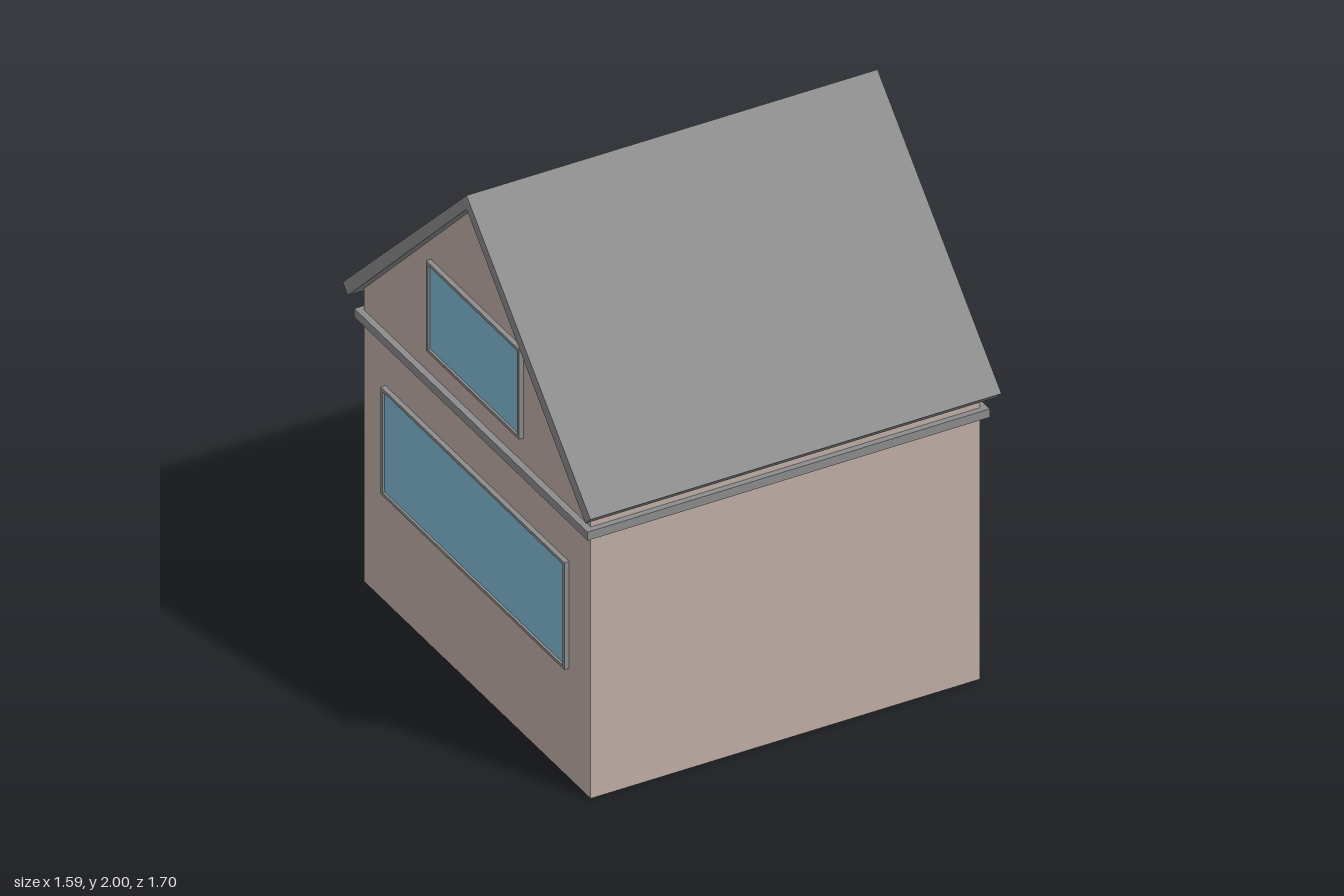
import * as THREE from 'three';

const mat = (color) => new THREE.MeshStandardMaterial({ color, flatShading: true });
const WALL_X = 0.755, WALL_Z = 0.777;

export function createModel() {
  const house = new THREE.Group();
  house.name = 'house';
  const wall = mat(0xc0afa6), grey = mat(0x8c8c8c), glass = mat(0x80bbd6);
  const wood = mat(0x614a38), brass = mat(0xa0934a);

  const add = (parent, name, geometry, material) => {
    const mesh = new THREE.Mesh(geometry, material);
    mesh.name = name;
    parent.add(mesh);
    return mesh;
  };
  const box = (parent, name, material, size, pos) =>
    add(parent, name, new THREE.BoxGeometry(...size), material).position.set(...pos);

  // Extrudes a (z, y) outline along x, centred on x = 0
  const profile = (points, halfWidth) => {
    const shape = new THREE.Shape(points.map(([z, y]) => new THREE.Vector2(z, y)));
    const g = new THREE.ExtrudeGeometry(shape, { depth: halfWidth * 2, bevelEnabled: false });
    return g.translate(0, 0, -halfWidth).rotateY(-Math.PI / 2);
  };

  // Walls with both gables
  add(house, 'walls', profile([
    [-WALL_Z, 0], [WALL_Z, 0], [WALL_Z, 1.177], [0, 1.945], [-WALL_Z, 1.177],
  ], WALL_X), wall);

  // Roof slabs joined at the ridge
  add(house, 'roof', profile([
    [0, 2], [-0.85, 1.175], [-0.815, 1.14], [0, 1.945], [0.815, 1.14], [0.85, 1.175],
  ], 0.797), grey);

  // Trim band around the house
  box(house, 'trimBand', grey, [1.56, 0.034, 1.6], [0, 1.074, 0]);

  // Framed panel on a gable wall; side is +1 or -1 along x
  const framed = (name, side, z0, z1, y0, y1, bars, fill, fillName) => {
    const group = new THREE.Group();
    group.name = name;
    house.add(group);
    const [barZ, barTop, barBottom] = bars;
    const w = z1 - z0, h = y1 - y0, cz = (z0 + z1) / 2, cy = (y0 + y1) / 2;
    const depth = 0.02, x = side * (WALL_X + depth / 2 - 0.001);
    box(group, fillName, fill, [0.01, h - 0.004, w - 0.004], [side * (WALL_X + 0.005), cy, cz]);
    for (const z of [z0 + barZ / 2, z1 - barZ / 2])
      box(group, 'frameSide', grey, [depth, h, barZ], [x, cy, z]);
    box(group, 'frameTop', grey, [depth, barTop, w - 2 * barZ], [x, y1 - barTop / 2, cz]);
    if (barBottom)
      box(group, 'frameBottom', grey, [depth, barBottom, w - 2 * barZ], [x, y0 + barBottom / 2, cz]);
    return group;
  };
  const even = [0.012, 0.012, 0.012];

  // Entrance side
  framed('upperWindow', 1, -0.318, 0.307, 1.19, 1.552, even, glass, 'glass');
  framed('lowerWindow', 1, -0.682, -0.178, 0.28, 0.682, even, glass, 'glass');
  framed('outerSidelight', 1, 0.508, 0.643, 0.015, 0.632, [0.006, 0.02, 0.02], glass, 'glass');
  framed('innerSidelight', 1, -0.077, 0.058, 0.015, 0.632, [0.006, 0.02, 0.02], glass, 'glass');
  const door = framed('frontDoor', 1, 0.107, 0.472, 0, 0.652, [0.008, 0.008, 0], wood, 'doorPanel');
  const knob = add(door, 'doorKnob',
    new THREE.CylinderGeometry(0.023, 0.023, 0.02, 20).rotateZ(Math.PI / 2), brass);
  knob.position.set(0.773, 0.3, 0.167);

  // Opposite side
  framed('rearUpperWindow', -1, -0.318, 0.318, 1.19, 1.552, even, glass, 'glass');
  framed('rearWideWindow', -1, -0.63, 0.63, 0.44, 0.87, even, glass, 'glass');

  return house;
}
